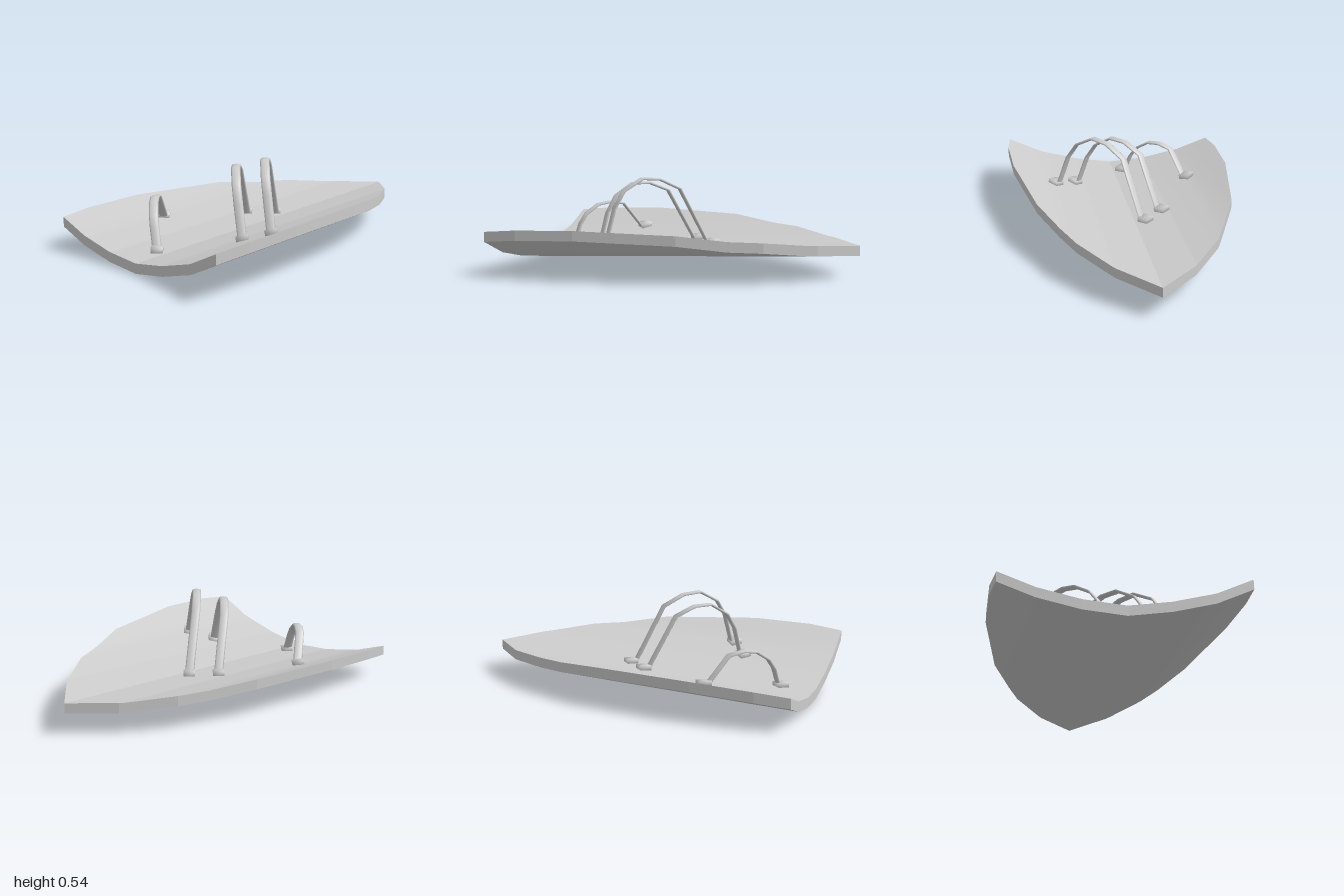
import * as THREE from 'three';
import { mergeVertices } from 'three/addons/utils/BufferGeometryUtils.js';

const THICK = 0.057;

// Piecewise linear lookup in a list of [key, value] points
function lerpTable(points, k) {
  const n = points.length;
  if (k <= points[0][0]) return points[0][1];
  for (let i = 1; i < n; i++) {
    const [a, va] = points[i - 1], [b, vb] = points[i];
    if (k <= b) return va + (vb - va) * (k - a) / (b - a);
  }
  return points[n - 1][1];
}

// The plate is a bent sheet: cross profile over u, on a slightly skewed, rising axis
const profile = [[-0.68, 0.137], [-0.46, 0.06], [-0.23, 0.015], [0, 0], [0.23, 0.04], [0.46, 0.105], [0.68, 0.212]];
const axisX = z => 0.027 * (0.97 - z) - 0.0075;
const lowerY = (u, z) => lerpTable(profile, u) + 0.0635 * (0.97 - z);
const surfaceY = (x, z) => lowerY(x - axisX(z), z) + THICK;

function makeGeometry(positions, index) {
  const g = new THREE.BufferGeometry();
  g.setAttribute('position', new THREE.Float32BufferAttribute(positions, 3));
  g.setIndex(index);
  g.computeVertexNormals();
  return g;
}

function createPlate(material) {
  const toU = ([x, z]) => [x - axisX(z), z];
  const back = [[-0.68, 0.77], [-0.66, 0.42], [-0.55, -0.13], [-0.36, -0.56], [-0.17, -0.81], [0.045, -1],
    [0.25, -0.8], [0.42, -0.54], [0.585, -0.1], [0.67, 0.46], [0.675, 0.8]].map(toU);
  const front = [[-0.68, 0.77], [-0.665, 0.96], [0, 0.97], [0.65, 1], [0.675, 0.8]].map(toU);
  const uMin = back[0][0], uMax = back[back.length - 1][0];
  const columns = [...back, ...front, ...profile].map(p => p[0])
    .filter(u => u >= uMin && u <= uMax)
    .sort((a, b) => a - b)
    .filter((u, i, all) => i === 0 || u - all[i - 1] > 1e-5);

  const point = (u, z, lift) => [u + axisX(z), lowerY(u, z) + lift, z];
  const group = new THREE.Group();
  group.name = 'shieldPlate';
  const add = (geometry, name) => {
    const mesh = new THREE.Mesh(geometry, material);
    mesh.name = name;
    group.add(mesh);
  };

  // Inner and outer faces
  for (const [name, lift] of [['innerFace', THICK], ['outerFace', 0]]) {
    const pos = [], index = [];
    columns.forEach((u, i) => {
      pos.push(...point(u, lerpTable(back, u), lift), ...point(u, lerpTable(front, u), lift));
      if (i === 0) return;
      const a = 2 * i - 2, b = a + 1, c = a + 2, d = a + 3;
      index.push(...(lift ? [a, b, d, a, d, c] : [a, d, b, a, c, d]));
    });
    add(makeGeometry(pos, index), name);
  }

  // Rim, running along the front edge and returning along the pointed edge
  const loop = [
    ...columns.map(u => [u, lerpTable(front, u)]),
    ...columns.slice(1, -1).reverse().map(u => [u, lerpTable(back, u)])
  ];
  const pos = [], index = [];
  loop.forEach((p, i) => {
    const q = loop[(i + 1) % loop.length];
    pos.push(...point(...p, 0), ...point(...q, 0), ...point(...q, THICK), ...point(...p, THICK));
    const k = 4 * i;
    index.push(k, k + 1, k + 2, k, k + 2, k + 3);
  });
  add(makeGeometry(pos, index), 'rim');
  return group;
}

// Arch of a strap: [position along chord, height fraction]
const arch = [[0.04, 0], [0.28, 0.86], [0.46, 1], [0.62, 1], [0.79, 0.8], [0.88, 0.53], [0.97, 0]];

function createStrap([ax, az], [bx, bz], height, lean, material) {
  const group = new THREE.Group();
  const A = new THREE.Vector3(ax, surfaceY(ax, az), az);
  const B = new THREE.Vector3(bx, surfaceY(bx, bz), bz);
  const across = new THREE.Vector3(az - bz, 0, bx - ax).normalize();

  // Flat band swept along the arch
  const path = arch.map(([t, h]) => A.clone().lerp(B, t)
    .addScaledVector(across, lean * h).add(new THREE.Vector3(0, height * h, 0)));
  const SIDES = 8, pos = [], index = [];
  path.forEach((p, i) => {
    const T = path[Math.min(i + 1, path.length - 1)].clone().sub(path[Math.max(i - 1, 0)]).normalize();
    const W = across.clone().addScaledVector(T, -across.dot(T)).normalize();
    const N = T.clone().cross(W);
    for (let j = 0; j < SIDES; j++) {
      const a = j / SIDES * Math.PI * 2;
      const v = p.clone().addScaledVector(W, 0.026 * Math.cos(a)).addScaledVector(N, 0.008 * Math.sin(a));
      pos.push(v.x, v.y, v.z);
      if (i === path.length - 1) continue;
      const k = i * SIDES, n = (j + 1) % SIDES;
      index.push(k + j, k + n, k + SIDES + n, k + j, k + SIDES + n, k + SIDES + j);
    }
  });
  const band = new THREE.Mesh(makeGeometry(pos, index), material);
  band.name = 'strapBand';
  group.add(band);

  // Soft square pads fixing both ends to the plate
  let padGeometry = new THREE.BoxGeometry(0.066, 0.034, 0.066);
  padGeometry.deleteAttribute('normal');
  padGeometry.deleteAttribute('uv');
  padGeometry = mergeVertices(padGeometry);
  padGeometry.computeVertexNormals();
  for (const end of [A, B]) {
    const pad = new THREE.Mesh(padGeometry, material);
    pad.name = 'strapPad';
    const slope = (surfaceY(end.x + 0.04, end.z) - surfaceY(end.x - 0.04, end.z)) / 0.08;
    pad.rotation.set(0, Math.atan2(-(bz - az), bx - ax), Math.atan(slope), 'ZYX');
    pad.position.copy(end);
    pad.position.y += 0.009;
    group.add(pad);
  }
  return group;
}

export function createModel() {
  const grey = new THREE.MeshStandardMaterial({ color: 0xcccccc });
  grey.name = 'plainGrey';
  const model = new THREE.Group();
  model.name = 'shield';
  model.add(createPlate(grey));

  const straps = [
    ['handStrap', [-0.41, 0.43], [-0.06, 0.78], 0.2, 0.03],
    ['frontArmStrap', [-0.16, 0], [0.29, 0.475], 0.345, 0.045],
    ['rearArmStrap', [-0.04, -0.12], [0.42, 0.385], 0.365, 0.045]
  ];
  for (const [name, from, to, height, lean] of straps) {
    const strap = createStrap(from, to, height, lean, grey);
    strap.name = name;
    model.add(strap);
  }
  return model;
}
